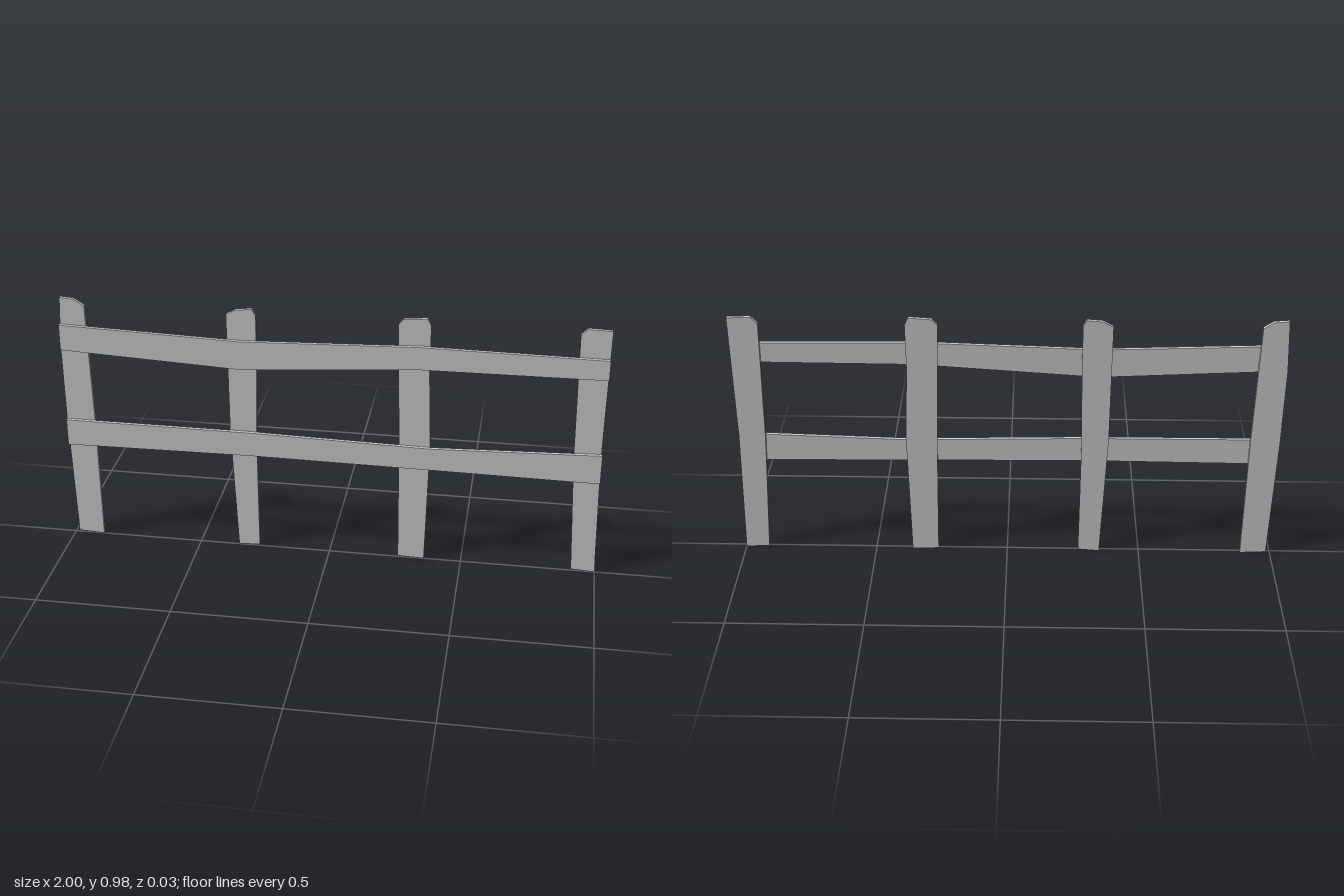
import * as THREE from 'three';

const material = new THREE.MeshStandardMaterial({ color: 0xcccccc, flatShading: true });
const THICKNESS = 0.014;

// Flat board cut from an outline, with its back face at z
function board(name, outline, z) {
  const shape = new THREE.Shape(outline.map(([x, y]) => new THREE.Vector2(x, y)));
  const geometry = new THREE.ExtrudeGeometry(shape, { depth: THICKNESS, bevelEnabled: false });
  const mesh = new THREE.Mesh(geometry, material);
  mesh.name = name;
  mesh.position.z = z;
  return mesh;
}

// Rail from stations [x, bottom, top]
function rail(name, stations) {
  const lower = stations.map(([x, bottom]) => [x, bottom]);
  const upper = stations.map(([x, , top]) => [x, top]).reverse();
  return board(name, [...lower, ...upper], 0);
}

export function createModel() {
  const fence = new THREE.Group();
  fence.name = 'fence';

  // Hand-cut pickets with chipped top corners, counterclockwise from bottom left
  const pickets = [
    [[-0.985, 0.005], [-0.887, 0], [-0.89, 0.5], [-0.9, 0.95], [-0.937, 0.974], [-0.99, 0.978], [-1, 0.78], [-0.998, 0.48]],
    [[-0.35, 0], [-0.27, 0.006], [-0.273, 0.48], [-0.267, 0.76], [-0.267, 0.95], [-0.28, 0.975], [-0.34, 0.97], [-0.375, 0.95], [-0.372, 0.48]],
    [[0.262, 0.004], [0.361, 0], [0.372, 0.48], [0.361, 0.78], [0.363, 0.95], [0.35, 0.978], [0.265, 0.972], [0.246, 0.95], [0.257, 0.48]],
    [[0.912, 0.005], [1, 0], [0.988, 0.48], [0.992, 0.972], [0.907, 0.975], [0.882, 0.95], [0.89, 0.48]],
  ];
  pickets.forEach((outline, i) => fence.add(board(`picket${i + 1}`, outline, -THICKNESS)));

  // Two uneven rails across the front
  fence.add(rail('upperRail', [[-0.997, 0.776, 0.875], [-0.33, 0.743, 0.853], [0.33, 0.787, 0.874], [0.992, 0.791, 0.866]]));
  fence.add(rail('lowerRail', [[-0.997, 0.387, 0.49], [-0.3, 0.393, 0.488], [0.37, 0.387, 0.474], [0.992, 0.38, 0.494]]));

  return fence;
}
